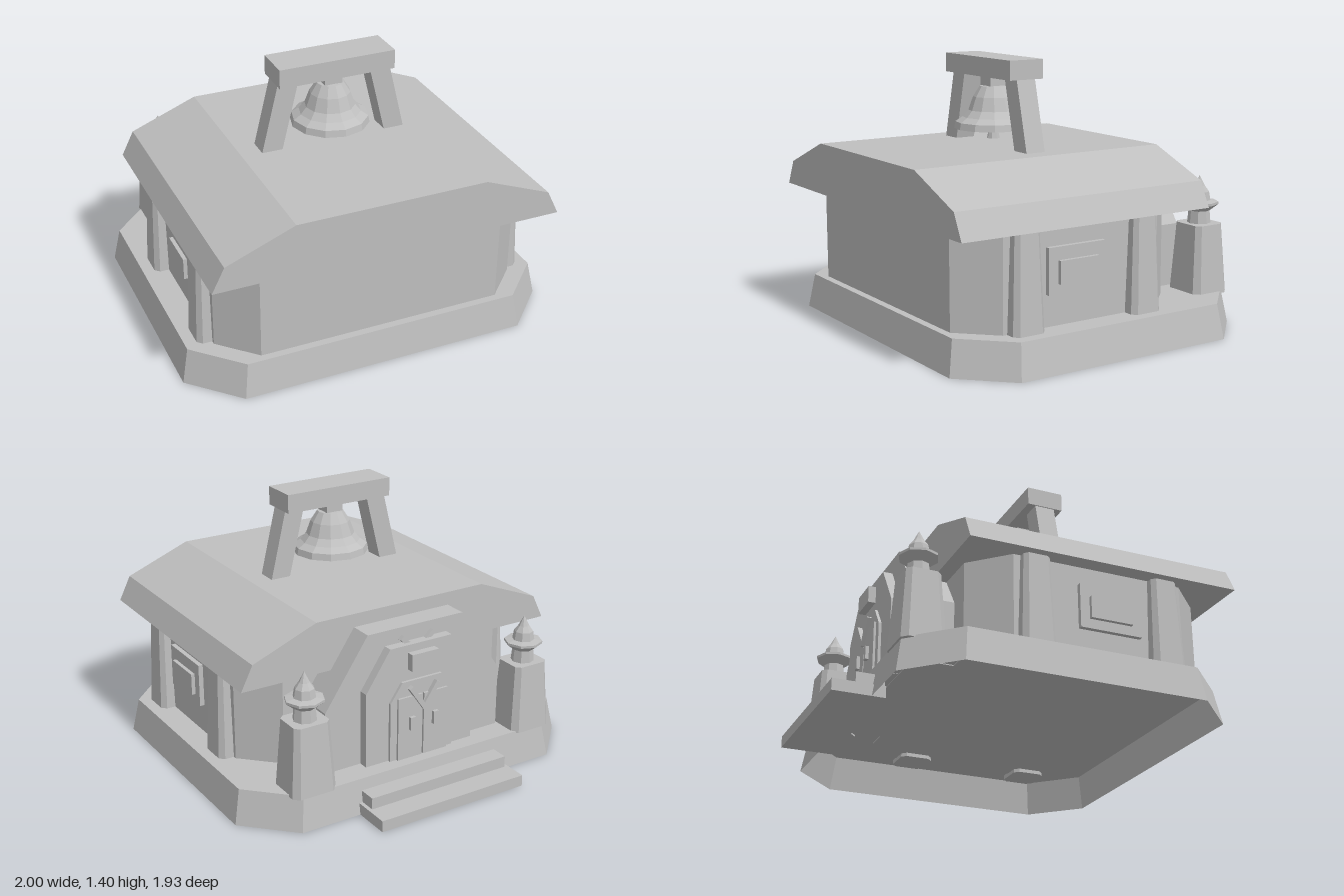
import * as THREE from 'three';

const stone = new THREE.MeshStandardMaterial({ color: 0xbfbfbf, flatShading: true, side: THREE.DoubleSide });
stone.name = 'grey stone';

export function createModel() {
  const model = new THREE.Group();
  model.name = 'bellHouse';

  function add(name, geometry, x = 0, y = 0, z = 0, parent = model) {
    const mesh = new THREE.Mesh(geometry, stone);
    mesh.name = name;
    mesh.position.set(x, y, z);
    parent.add(mesh);
    return mesh;
  }

  // box given by its limits
  function block(name, x0, x1, y0, y1, z0, z1, parent = model) {
    return add(name, new THREE.BoxGeometry(x1 - x0, y1 - y0, z1 - z0),
      (x0 + x1) / 2, (y0 + y1) / 2, (z0 + z1) / 2, parent);
  }

  // rectangle with cut corners, as [x, y, z] points
  function ring(hx, hz, cut, y) {
    return [[hx, hz - cut], [hx - cut, hz], [cut - hx, hz], [-hx, hz - cut],
      [-hx, cut - hz], [cut - hx, -hz], [hx - cut, -hz], [hx, cut - hz]].map(([x, z]) => [x, y, z]);
  }

  // tapered solid between a lower and an upper ring
  function taper(lower, upper, closedBelow = true) {
    const p = [], n = lower.length;
    const midLow = [0, lower[0][1], 0], midTop = [0, upper[0][1], 0];
    for (let i = 0; i < n; i++) {
      const j = (i + 1) % n;
      p.push(...lower[i], ...upper[i], ...upper[j], ...lower[i], ...upper[j], ...lower[j]);
      p.push(...midTop, ...upper[j], ...upper[i]);
      if (closedBelow) p.push(...midLow, ...lower[i], ...lower[j]);
    }
    const g = new THREE.BufferGeometry();
    g.setAttribute('position', new THREE.Float32BufferAttribute(p, 3));
    g.computeVertexNormals();
    return g;
  }

  // prism along z from a symmetric half outline, starting at the lower right
  function prism(half, z0, z1) {
    const all = [...half, ...half.map(([x, y]) => [-x, y]).reverse()];
    const shape = new THREE.Shape(all.map(([x, y]) => new THREE.Vector2(x, y)));
    return new THREE.ExtrudeGeometry(shape, { depth: z1 - z0, bevelEnabled: false }).translate(0, 0, z0);
  }

  // plinth, open underneath, and walls
  add('plinth', taper(ring(1, 0.855, 0.24, 0), ring(0.965, 0.825, 0.23, 0.18), false), 0, 0, 0.085);
  add('walls', taper(ring(0.83, 0.635, 0.18, 0.175), ring(0.83, 0.635, 0.18, 0.68)), 0, 0, 0.235);

  // roof
  add('roof', prism([[0.92, 0.67], [0.855, 0.8], [0.5, 0.94]], -0.48, 0.965));

  // side pillars and windows
  for (const s of [-1, 1]) {
    for (const z of [0.58, -0.113]) {
      add('sidePillar', taper(ring(0.095, 0.089, 0.025, 0.155), ring(0.075, 0.07, 0.02, 0.665)), s * 0.81, 0, z);
    }
    add('windowFrame', new THREE.BoxGeometry(0.05, 0.23, 0.33), s * 0.83, 0.455, 0.285);
    add('windowPanel', new THREE.BoxGeometry(0.05, 0.115, 0.225), s * 0.85, 0.4475, 0.282);
  }

  // entrance arch, inner arch and double door at the back
  add('entrance', prism([[0.53, 0.175], [0.53, 0.51], [0.285, 0.87]], -0.605, -0.39));
  add('innerArch', prism([[0.325, 0.178], [0.325, 0.58], [0.185, 0.79]], -0.655, -0.6));
  add('doorFrame', prism([[0.19, 0.179], [0.19, 0.5], [0.12, 0.6]], -0.67, -0.65));
  block('signPlate', -0.08, 0.08, 0.66, 0.75, -0.695, -0.65);
  for (const s of [-1, 1]) {
    block('doorLeaf', Math.min(s * 0.005, s * 0.15), Math.max(s * 0.005, s * 0.15), 0.18, 0.52, -0.682, -0.66);
    block('doorHandle', s * 0.07 - 0.015, s * 0.07 + 0.015, 0.34, 0.41, -0.7, -0.68);
    // slanted bars meeting in the middle
    add('doorBar', new THREE.BoxGeometry(0.025, 0.15, 0.025), s * 0.04, 0.51, -0.685).rotation.z = -s * 0.6;
    add('archBar', new THREE.BoxGeometry(0.025, 0.1, 0.025), s * 0.06, 0.785, -0.615).rotation.z = -s * 0.8;
  }

  // steps
  block('lowerStep', -0.43, 0.43, 0, 0.06, -0.967, -0.7);
  block('upperStep', -0.41, 0.41, 0.06, 0.12, -0.845, -0.7);

  // lantern posts beside the entrance
  const lantern = [[0.062, 0.52], [0.055, 0.6], [0.1, 0.635], [0.1, 0.648], [0.058, 0.655],
    [0.05, 0.7], [0.028, 0.73], [0, 0.785]].map(([r, y]) => new THREE.Vector2(r, y));
  for (const s of [-1, 1]) {
    const post = new THREE.Group();
    post.name = 'lanternPost';
    post.position.set(s * 0.665, 0, -0.64);
    add('postShaft', taper(ring(0.122, 0.112, 0.03, 0.17), ring(0.098, 0.088, 0.024, 0.535)), 0, 0, 0, post);
    add('postLantern', new THREE.LatheGeometry(lantern, 8), 0, 0, 0, post);
    model.add(post);
  }

  // bell frame
  const frame = new THREE.Group();
  frame.name = 'bellFrame';
  frame.position.z = 0.21;
  model.add(frame);
  block('frameBeam', -0.312, 0.312, 1.3, 1.4, -0.1, 0.1, frame);
  for (const s of [-1, 1]) {
    const leg = new THREE.BoxGeometry(0.11, 0.37, 0.11);
    const p = leg.attributes.position;
    for (let i = 0; i < p.count; i++) p.setX(i, p.getX(i) + s * (p.getY(i) > 0 ? 0.25 : 0.34));
    leg.computeVertexNormals();
    add('frameLeg', leg, 0, 1.117, 0, frame);
  }

  // bell with hanger and clapper
  const bell = [[0.17, 1.05], [0.205, 1.025], [0.198, 1.06], [0.16, 1.085], [0.13, 1.12], [0.105, 1.19],
    [0.07, 1.245], [0, 1.25]].map(([r, y]) => new THREE.Vector2(r, y));
  add('bell', new THREE.LatheGeometry([new THREE.Vector2(0, 1.05), ...bell], 12), 0, 0, 0, frame);
  add('bellHanger', new THREE.BoxGeometry(0.095, 0.07, 0.095), 0, 1.27, 0, frame);
  add('clapper', new THREE.CylinderGeometry(0.018, 0.034, 0.08, 8), 0, 1.01, 0, frame);

  return model;
}
